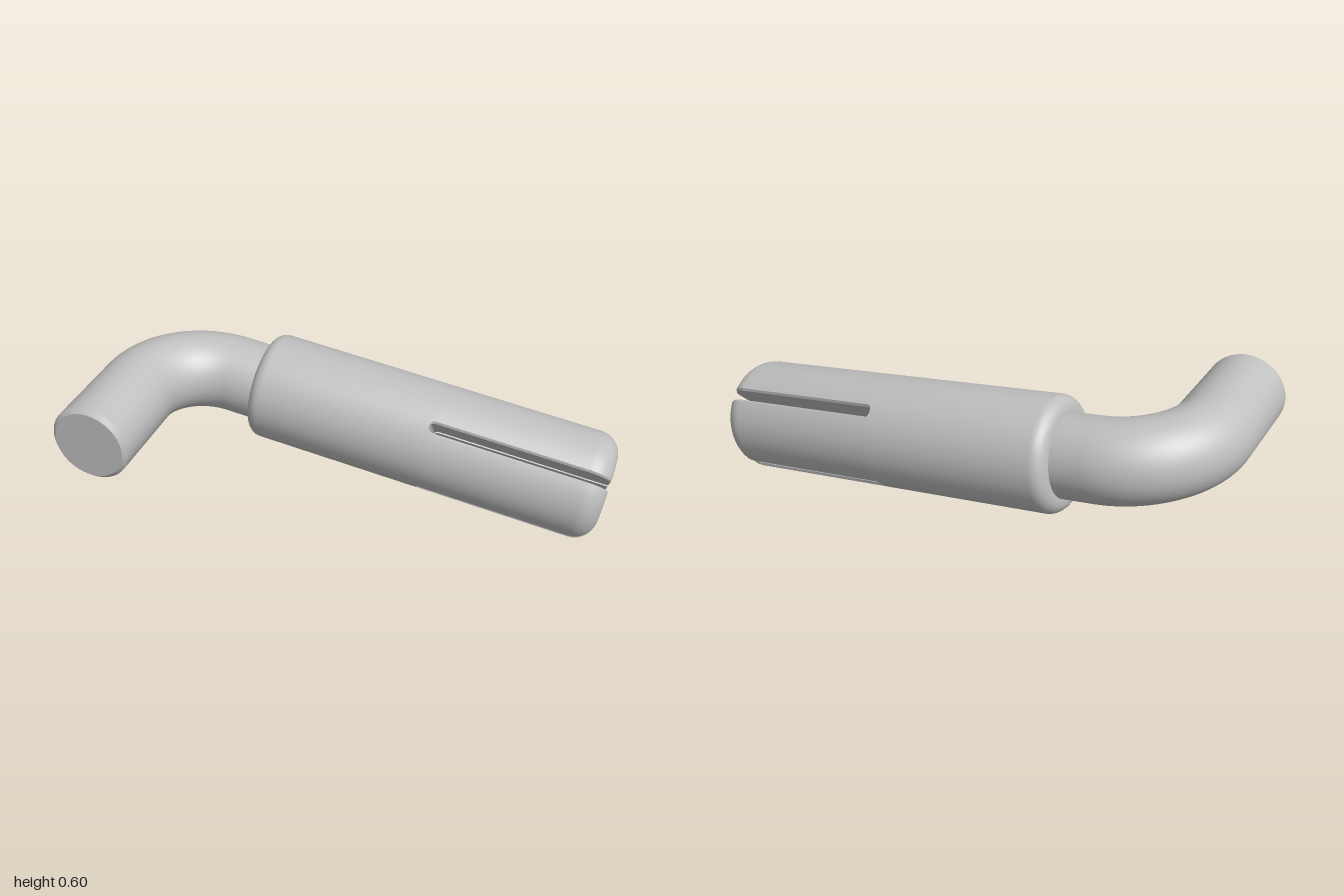
import * as THREE from 'three';
import { toCreasedNormals } from 'three/addons/utils/BufferGeometryUtils.js';

const ROD_R = 0.154, BEND_R = 0.3;
const R = 0.214, BACK = 0.418, SLOT = 1.14, END = 1.845;
const HALF_SLOT = 0.0185, END_FILLET = 0.09, EDGE = 0.008;

// Cross-section of one jaw: a quarter disc pulled back by h from both slot planes
function jawSection(r, h) {
  const c = EDGE * Math.min(1, h / HALF_SLOT);
  const wall = Math.sqrt((r - c) ** 2 - h * h);
  const t0 = Math.asin((h + c) / r);
  const pts = [[h, h], [wall, h]];
  for (let i = 0; i <= 20; i++) {
    const t = t0 + (Math.PI / 2 - 2 * t0) * i / 20;
    pts.push([r * Math.cos(t), r * Math.sin(t)]);
  }
  pts.push([h, wall]);
  return pts;
}

// Jaw lofted along x, with a rounded slot floor and a rounded free end
function jawGeometry() {
  const stations = [];
  for (let i = 0; i <= 6; i++) {
    const a = i / 6 * Math.PI / 2;
    stations.push([SLOT + HALF_SLOT * (1 - Math.cos(a)), R, HALF_SLOT * Math.sin(a)]);
  }
  for (let i = 0; i <= 10; i++) {
    const a = i / 10 * Math.PI / 2;
    const x = END - END_FILLET * (1 - Math.sin(a));
    const near = Math.max(0, 1 - (END - x) / EDGE);
    const h = HALF_SLOT + EDGE * (1 - Math.sqrt(1 - near * near));
    stations.push([x, R - END_FILLET * (1 - Math.cos(a)), h]);
  }
  const pos = [], idx = [];
  let n = 0;
  stations.forEach(([x, r, h]) => {
    const loop = jawSection(r, h);
    n = loop.length;
    loop.forEach(([a, b]) => pos.push(x, a, b));
  });
  for (let j = 0; j < stations.length - 1; j++) {
    for (let i = 0; i < n; i++) {
      const a = j * n + i, b = j * n + (i + 1) % n;
      idx.push(a, b, b + n, a, b + n, a + n);
    }
  }
  const last = (stations.length - 1) * n;
  for (let i = 1; i < n - 1; i++) idx.push(last, last + i, last + i + 1);
  const g = new THREE.BufferGeometry();
  g.setAttribute('position', new THREE.Float32BufferAttribute(pos, 3));
  g.setIndex(idx);
  return toCreasedNormals(g, 0.5);
}

export function createModel() {
  const model = new THREE.Group();
  model.name = 'bentRodWithSlottedSleeve';
  const metal = new THREE.MeshStandardMaterial({ color: 0xc0c0c0 });
  metal.name = 'light grey metal';

  const add = (name, geometry) => {
    const mesh = new THREE.Mesh(geometry, metal);
    mesh.name = name;
    model.add(mesh);
    return mesh;
  };
  const lathe = (pts) => toCreasedNormals(
    new THREE.LatheGeometry(pts.map(([r, y]) => new THREE.Vector2(r, y)), 64), 0.5);

  // Straight handle end with a chamfered tip
  const tip = 0.686, ch = 0.016;
  add('rodEnd', lathe([[ROD_R, BEND_R], [ROD_R, tip - ch], [ROD_R - ch, tip], [0, tip]]))
    .rotation.x = Math.PI / 2;

  // Quarter bend
  const bend = add('rodBend', new THREE.TorusGeometry(BEND_R, ROD_R, 64, 32, Math.PI / 2));
  bend.position.set(BEND_R, 0, BEND_R);
  bend.rotation.set(-Math.PI / 2, 0, Math.PI / 2);

  // Short neck running into the sleeve
  const neck = add('rodNeck', new THREE.CylinderGeometry(ROD_R, ROD_R, 0.18, 64, 1, true));
  neck.rotation.z = -Math.PI / 2;
  neck.position.x = BEND_R + 0.09;

  // Solid part of the sleeve with a rounded back rim
  const f = 0.05, profile = [[0, BACK]];
  for (let i = 0; i <= 6; i++) {
    const a = i / 6 * Math.PI / 2;
    profile.push([R - f * (1 - Math.sin(a)), BACK + f * (1 - Math.cos(a))]);
  }
  profile.push([R, SLOT]);
  add('sleeve', lathe(profile)).rotation.z = -Math.PI / 2;

  // Four jaws separated by the crossed slots
  const jaw = jawGeometry();
  for (let k = 0; k < 4; k++) {
    add('sleeveJaw', jaw).rotation.x = Math.PI / 4 + k * Math.PI / 2;
  }

  // The sleeve slopes down towards its slotted end
  model.position.set(-0.846, 0.445, -0.236);
  model.rotation.z = -THREE.MathUtils.degToRad(7.6);
  const root = new THREE.Group();
  root.name = 'model';
  root.add(model);
  return root;
}
